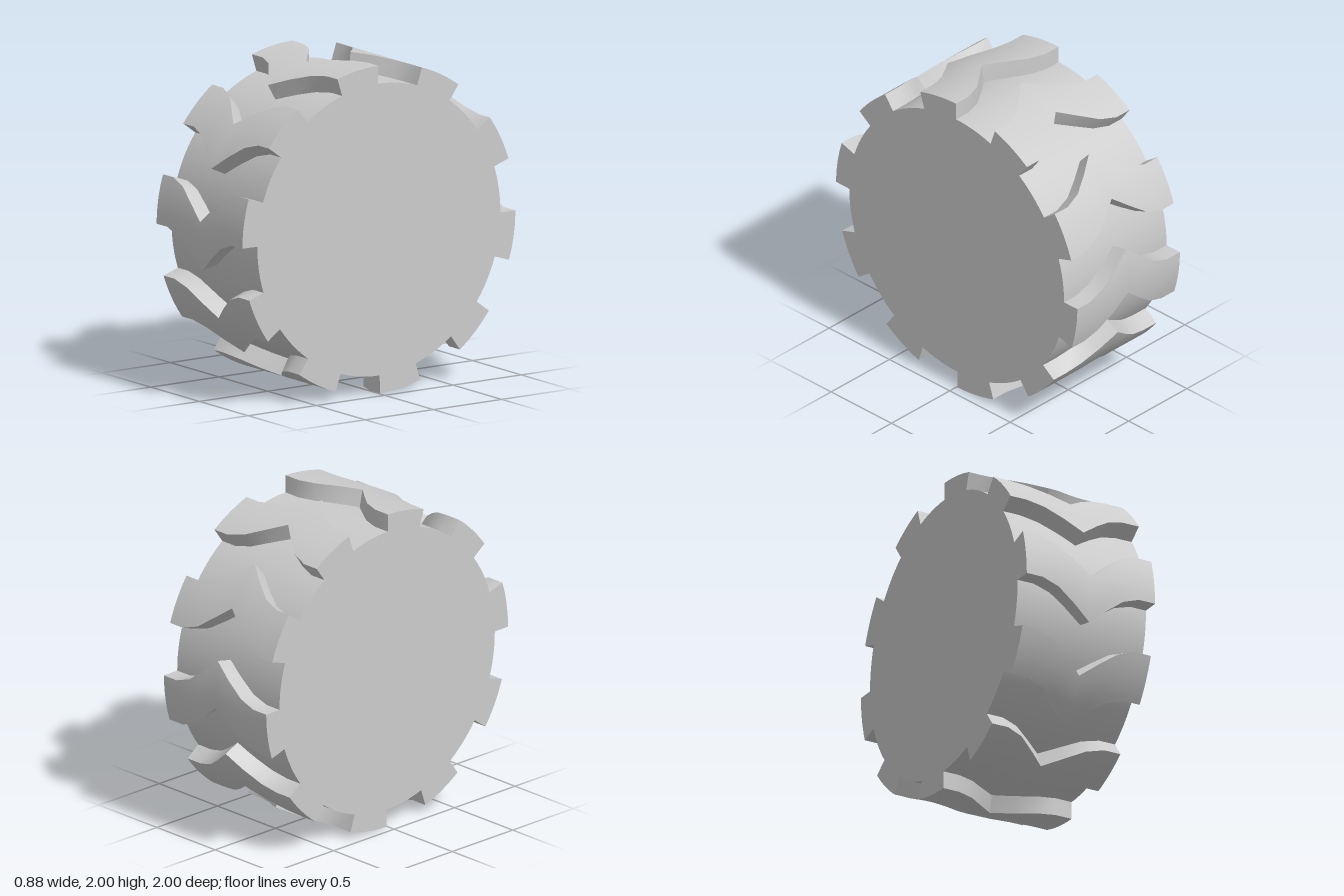
import * as THREE from 'three';
import { toCreasedNormals } from 'three/addons/utils/BufferGeometryUtils.js';

const WIDTH = 0.88, R_DRUM = 0.89, R_TREAD = 1, LUGS = 10;
const LUG_START = 0.4, LUG_SPAN = 17.2; // degrees, at the tyre's edge
// Chevron sweep in degrees at |x| = 0, 0.11, 0.22, 0.33, 0.44
const SWEEP = [12.3, 7.0, 2.2, 0, 0];

// A box bent around the axle and swept into a chevron
function lugGeometry() {
  const geo = new THREE.BoxGeometry(WIDTH, 1, 1, 8, 1, 10);
  const pos = geo.attributes.position;
  for (let i = 0; i < pos.count; i++) {
    const x = pos.getX(i);
    const r = pos.getY(i) > 0 ? R_TREAD : R_DRUM - 0.002;
    const sweep = SWEEP[Math.round(Math.abs(x) / (WIDTH / 8))];
    const a = THREE.MathUtils.degToRad(LUG_START + LUG_SPAN * (0.5 - pos.getZ(i)) - sweep);
    pos.setXYZ(i, x, r * Math.sin(a), r * Math.cos(a));
  }
  return toCreasedNormals(geo, 0.6);
}

export function createModel() {
  const model = new THREE.Group();
  model.name = 'tractorTyre';
  const material = new THREE.MeshStandardMaterial({ color: 0xcccccc });

  // Solid core with flat sides
  const drum = new THREE.Mesh(
    new THREE.CylinderGeometry(R_DRUM, R_DRUM, WIDTH, 120).rotateZ(Math.PI / 2), material);
  drum.name = 'drum';
  drum.position.y = 1;
  model.add(drum);

  // Chevron tread blocks
  const tread = new THREE.Group();
  tread.name = 'tread';
  tread.position.y = 1;
  const geo = lugGeometry();
  for (let i = 0; i < LUGS; i++) {
    const lug = new THREE.Mesh(geo, material);
    lug.name = `treadLug${i + 1}`;
    lug.rotation.x = -i * Math.PI * 2 / LUGS;
    tread.add(lug);
  }
  model.add(tread);
  return model;
}
